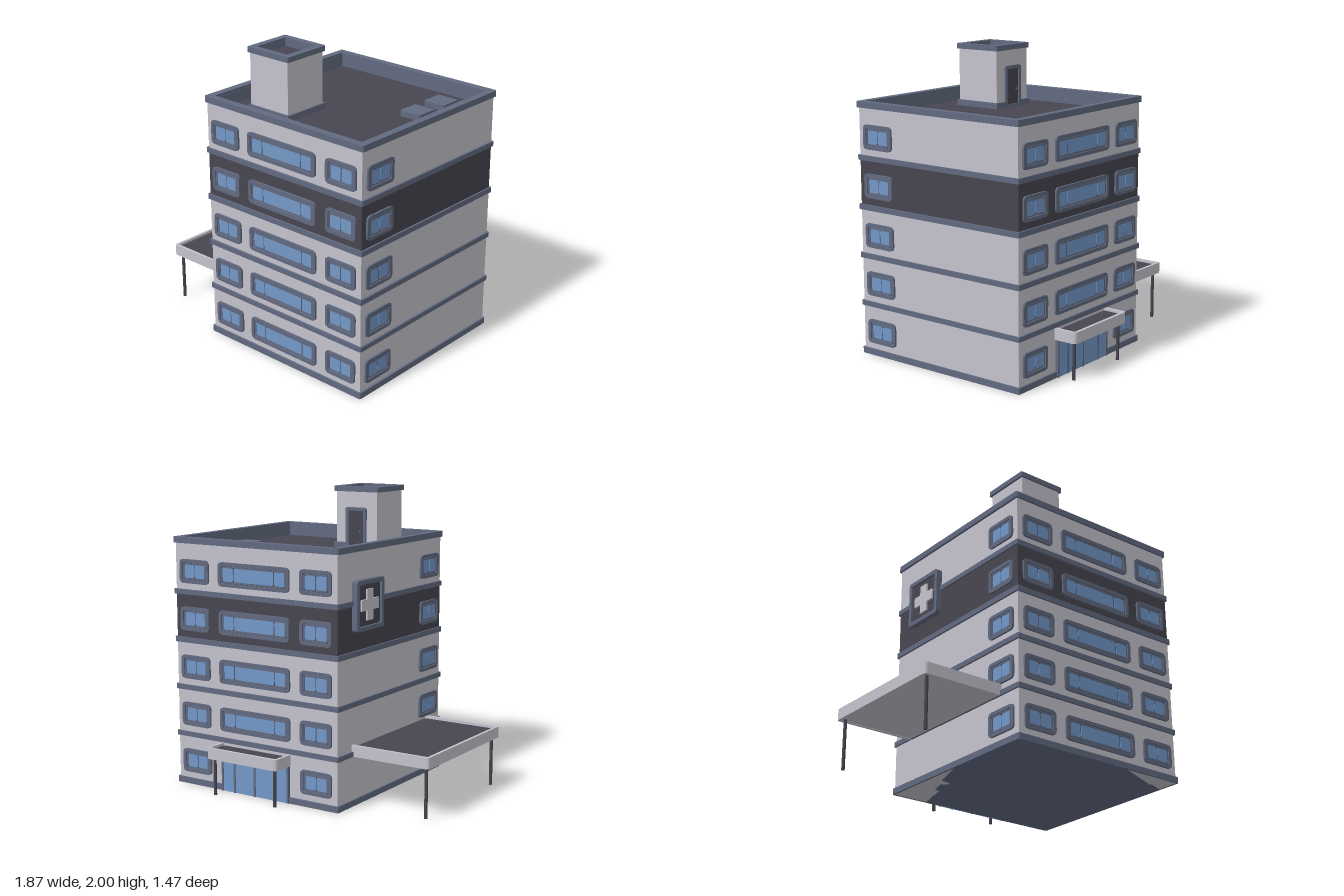
import * as THREE from 'three';

const mat = (name, color) => {
  const m = new THREE.MeshStandardMaterial({ color });
  m.name = name;
  return m;
};

export function createModel() {
  const wall = mat('paleWall', 0xc4c3cc);
  const dark = mat('darkSlate', 0x474550);
  const trim = mat('blueGreyTrim', 0x626a80);
  const glass = mat('blueGlass', 0x7398c8);

  const model = new THREE.Group();
  model.name = 'officeBuilding';

  const add = (parent, name, geometry, material, x = 0, y = 0, z = 0) => {
    const mesh = new THREE.Mesh(geometry, material);
    mesh.name = name;
    mesh.position.set(x, y, z);
    parent.add(mesh);
    return mesh;
  };
  const group = (name, parent = model) => {
    const g = new THREE.Group();
    g.name = name;
    parent.add(g);
    return g;
  };

  // Rounded rectangle centred on the origin
  const trace = (path, w, h, r) => {
    const a = w / 2, b = h / 2;
    path.moveTo(-a + r, -b);
    path.lineTo(a - r, -b);
    path.quadraticCurveTo(a, -b, a, -b + r);
    path.lineTo(a, b - r);
    path.quadraticCurveTo(a, b, a - r, b);
    path.lineTo(-a + r, b);
    path.quadraticCurveTo(-a, b, -a, b - r);
    path.lineTo(-a, -b + r);
    path.quadraticCurveTo(-a, -b, -a + r, -b);
    return path;
  };
  // Upright plate, or frame when a border is given, growing towards +z
  const plate = (w, h, depth, r = 0.001, border = 0) => {
    const shape = trace(new THREE.Shape(), w, h, r);
    if (border) shape.holes.push(trace(new THREE.Path(), w - 2 * border, h - 2 * border, Math.max(r - border, 0.008)));
    return new THREE.ExtrudeGeometry(shape, { depth, bevelEnabled: false, curveSegments: 4 });
  };
  // Horizontal slab or ring between the given bounds
  const slab = (parent, name, material, [x0, x1], [y0, y1], [z0, z1], r = 0.001, border = 0) => {
    const g = plate(x1 - x0, z1 - z0, y1 - y0, r, border).rotateX(-Math.PI / 2);
    return add(parent, name, g, material, (x0 + x1) / 2, y0, (z0 + z1) / 2);
  };

  const X = [-0.37, 0.915], Z = [-0.573, 0.718];
  const grow = ([a, b], d) => [a - d, b + d];
  const roofY = 1.58;

  // Storeys, the fourth one dark
  const levels = [0, 0.345, 0.67, 0.992, 1.315, roofY];
  for (let i = 0; i < 5; i++) {
    slab(model, 'storey' + (i + 1), i === 3 ? dark : wall, X, [levels[i], levels[i + 1]], Z);
  }
  // Projecting bands at every floor line
  const bands = [[0, 0.04], [0.33, 0.362], [0.652, 0.686], [0.975, 1.01], [1.3, 1.333]];
  bands.forEach((y) => slab(model, 'floorBand', trim, grow(X, 0.013), y, grow(Z, 0.013), 0.012));

  // Roof deck and parapet
  slab(model, 'roofDeck', dark, grow(X, -0.03), [roofY, roofY + 0.003], grow(Z, -0.03));
  slab(model, 'parapetWall', wall, X, [roofY, 1.645], Z, 0.001, 0.02);
  slab(model, 'parapetLining', trim, grow(X, -0.018), [roofY, 1.66], grow(Z, -0.018), 0.001, 0.019);
  slab(model, 'parapetCap', trim, grow(X, 0.015), [1.64, 1.68], grow(Z, 0.013), 0.015, 0.05);

  // Windows
  const makeWindow = (parent, width, panes) => {
    const w = group('window', parent);
    add(w, 'outerFrame', plate(width, 0.16, 0.013, 0.032, 0.023), trim);
    add(w, 'frameBacking', plate(width - 0.04, 0.12, 0.002, 0.015), dark);
    add(w, 'innerFrame', plate(width - 0.052, 0.108, 0.009, 0.018, 0.01), trim);
    panes.forEach(([x, pw]) => add(w, 'pane', plate(pw, 0.088, 0.005, 0.014), glass, x));
    return w;
  };
  const smallPanes = [[-0.043, 0.081], [0.043, 0.081]];
  const widePanes = [[-0.206, 0.084], [0, 0.316], [0.206, 0.084]];
  const place = (obj, x, y, z, turn) => {
    obj.position.set(x, y, z);
    obj.rotation.y = turn;
  };
  const windows = group('windows');
  [0.163, 0.487, 0.81, 1.137, 1.455].forEach((y, row) => {
    [[Z[1], 0], [Z[0], Math.PI]].forEach(([z, turn]) => {
      place(makeWindow(windows, 0.24, smallPanes), -0.21, y, z, turn);
      place(makeWindow(windows, 0.24, smallPanes), 0.757, y, z, turn);
      if (row > 0 || turn === 0) place(makeWindow(windows, 0.565, widePanes), 0.273, y, z, turn);
    });
    place(makeWindow(windows, 0.24, smallPanes), X[1], y, 0.557, Math.PI / 2);
    place(makeWindow(windows, 0.24, smallPanes), X[0], y, 0.557, -Math.PI / 2);
  });

  // Rear entrance: glazed doors in a slim frame
  const entrance = group('entrance');
  place(entrance, 0.27, 0, Z[0], Math.PI);
  add(entrance, 'entranceGlass', plate(0.54, 0.256, 0.016), glass, 0, 0.128);
  [-0.265, -0.165, 0, 0.165, 0.265].forEach((x) =>
    add(entrance, 'entranceMullion', plate(0.014, 0.256, 0.021), trim, x, 0.128));

  // Canopies: a pale tray with a dark deck, standing on slim posts
  const canopy = (name, x, y, z, r, posts) => {
    const g = group(name);
    slab(g, 'canopyRim', wall, x, y, z, r, 0.02);
    slab(g, 'canopySoffit', wall, grow(x, -0.01), [y[0] + 0.004, y[0] + 0.03], grow(z, -0.01), r / 2);
    slab(g, 'canopyDeck', dark, grow(x, -0.012), [y[0] + 0.03, y[1] - 0.018], grow(z, -0.012), r / 2);
    posts.forEach(([px, pz]) =>
      add(g, 'post', new THREE.CylinderGeometry(0.011, 0.011, y[0] + 0.01, 12), dark, px, (y[0] + 0.01) / 2, pz));
  };
  canopy('sideCanopy', [-0.935, -0.35], [0.33, 0.405], [-0.41, 0.555], 0.02, [[-0.896, -0.37], [-0.896, 0.515]]);
  canopy('entranceCanopy', [-0.01, 0.555], [0.25, 0.325], [-0.735, -0.552], 0.03, [[0.03, -0.696], [0.515, -0.696]]);

  // Stair house on the roof
  const house = group('stairHouse');
  const hx = [-0.17, 0.15], hz = [0.207, 0.527];
  slab(house, 'houseWalls', wall, hx, [roofY, 1.94], hz);
  slab(house, 'houseRoof', dark, grow(hx, -0.01), [1.94, 1.944], grow(hz, -0.01));
  slab(house, 'houseCap', trim, grow(hx, 0.015), [1.965, 2], grow(hz, 0.013), 0.012, 0.045);
  slab(house, 'houseUpperWall', wall, hx, [1.94, 1.966], hz, 0.001, 0.02);
  slab(house, 'houseCapLining', trim, grow(hx, -0.018), [1.94, 1.98], grow(hz, -0.018), 0.001, 0.013);
  slab(house, 'housePlinth', trim, grow(hx, 0.013), [roofY, 1.622], [hz[0], hz[1] + 0.013]);
  [[hx[0] - 0.013, -0.09], [0.07, hx[1] + 0.013]].forEach((px) =>
    slab(house, 'housePlinthBack', trim, px, [roofY, 1.622], [hz[0] - 0.013, hz[0] + 0.002]));
  const door = group('roofDoor', house);
  place(door, -0.01, 1.72, hz[0], Math.PI);
  add(door, 'doorFrame', plate(0.16, 0.28, 0.014, 0.015, 0.022), trim);
  add(door, 'doorLeaf', plate(0.13, 0.26, 0.007), dark);
  add(door, 'doorHandle', new THREE.SphereGeometry(0.008, 10, 8), trim, 0.035, -0.02, 0.012);

  // Low roof hatches
  [-0.335, -0.09].forEach((z) =>
    slab(model, 'roofHatch', trim, [0.6, 0.755], [roofY, 1.62], [z - 0.077, z + 0.077], 0.012));

  // Wall sign with a raised plus shape
  const sign = group('wallSign');
  place(sign, X[0], 1.297, -0.25, -Math.PI / 2);
  add(sign, 'signFrame', plate(0.32, 0.325, 0.042, 0.02, 0.028), trim);
  add(sign, 'signPanel', plate(0.3, 0.3, 0.026), dark);
  const a = 0.1, b = 0.036;
  const plus = new THREE.Shape([[-b, -a], [b, -a], [b, -b], [a, -b], [a, b], [b, b], [b, a], [-b, a], [-b, b], [-a, b], [-a, -b], [-b, -b]]
    .map(([x, y]) => new THREE.Vector2(x, y)));
  add(sign, 'plusShape', new THREE.ExtrudeGeometry(plus, { depth: 0.014, bevelEnabled: false }), wall, 0, 0, 0.024);

  return model;
}
